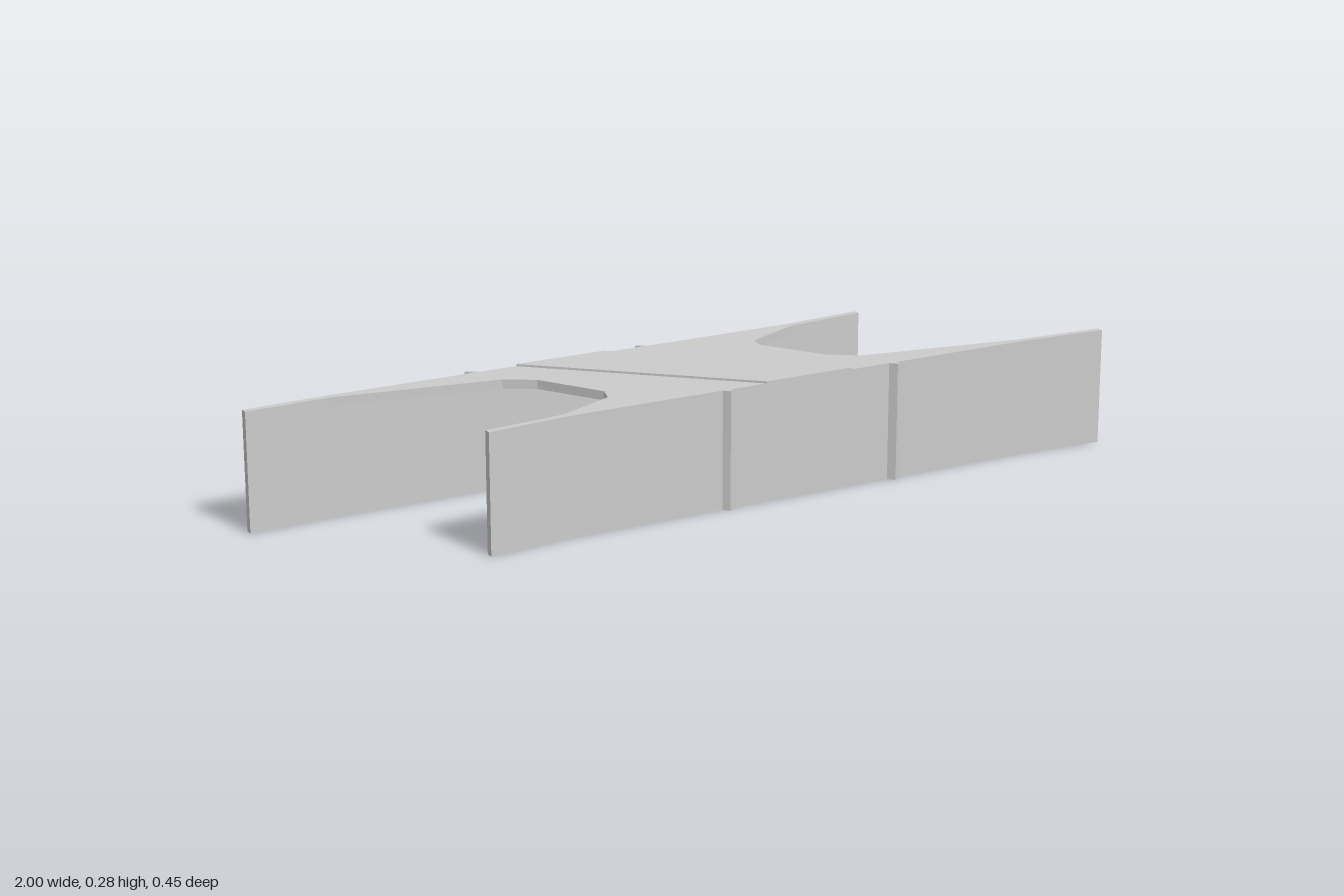
import * as THREE from 'three';

const TOP = 0.276, DECK_BOTTOM = 0.255, DECK_RAISE = 0.281;

// Extrude a plan outline of [x, z] points between two heights
function slab(name, outline, y0, y1, material) {
  const shape = new THREE.Shape(outline.map(([x, z]) => new THREE.Vector2(x, -z)));
  const geometry = new THREE.ExtrudeGeometry(shape, { depth: y1 - y0, bevelEnabled: false });
  geometry.rotateX(-Math.PI / 2);
  geometry.translate(0, y0, 0);
  const mesh = new THREE.Mesh(geometry, material);
  mesh.name = name;
  return mesh;
}

export function createModel() {
  const group = new THREE.Group();
  group.name = 'skewBridge';
  const material = new THREE.MeshStandardMaterial({ color: 0xcccccc, flatShading: true });
  const add = (...args) => group.add(slab(...args, material));

  // Inner faces of the two long walls, bent at the wing ends
  const frontInner = [[-0.615, 0.206], [-0.41, 0.186], [0.78, 0.183], [1, 0.198]];
  const backInner = [[-1, -0.173], [-0.8, -0.182], [0.39, -0.187], [0.59, -0.206]];

  // Abutment walls with their wings
  add('frontWall', [
    ...frontInner,
    [1, 0.214], [0.78, 0.2], [-0.41, 0.203], [-0.615, 0.223],
  ], 0, TOP);
  add('backWall', [
    ...backInner,
    [0.59, -0.223], [0.38, -0.205], [-0.8, -0.199], [-1, -0.19],
  ], 0, TOP);

  // Deck between the walls, with chamfered openings at both ends
  add('deck', [
    [-0.42, 0.187], [0.78, 0.183],
    [0.385, 0.115], [0.32, 0.067], [0.233, -0.083], [0.245, -0.12],
    [0.39, -0.187], [-0.8, -0.182],
    [-0.41, -0.12], [-0.345, -0.077], [-0.26, 0.075], [-0.275, 0.12],
  ], DECK_BOTTOM, TOP);

  // Raised skewed roadway band
  add('roadway', [
    [-0.335, -0.2], [-0.11, -0.2], [0.305, 0.203], [0.08, 0.203],
  ], TOP, DECK_RAISE);

  // Slanted vertical fins on the outer wall faces
  for (const x of [-0.02, 0.42]) {
    add('frontFin', [
      [x - 0.016, 0.198], [x, 0.216], [x + 0.01, 0.21], [x, 0.198],
    ], 0, TOP);
  }
  for (const x of [-0.44, -0.003]) {
    add('backFin', [
      [x + 0.015, -0.198], [x - 0.008, -0.222], [x - 0.017, -0.217], [x, -0.198],
    ], 0, TOP);
  }
  return group;
}
